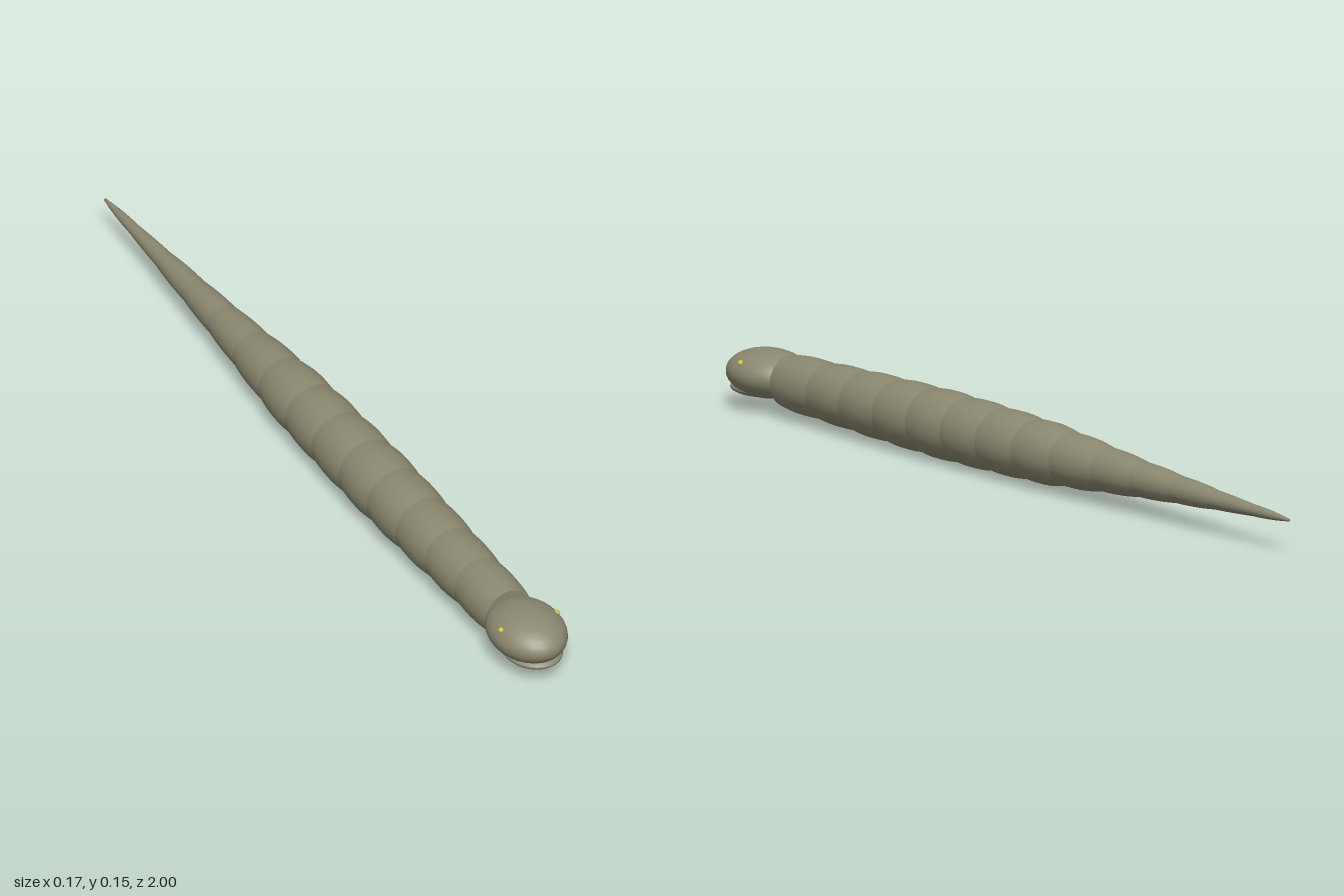
import * as THREE from 'three';

export function createModel() {
  const model = new THREE.Group();
  const skin = new THREE.MeshStandardMaterial({ color: 0x8b8870 });
  skin.name = 'olive skin';
  const yellow = new THREE.MeshStandardMaterial({ color: 0xc8bc22 });
  yellow.name = 'eye yellow';
  const bodyY = 0.077;

  // Ends of the body segments along z, and the bulge radius at each segment's middle
  const ends = [0.81, 0.675, 0.55, 0.425, 0.3, 0.175, 0.05, -0.075, -0.205, -0.34, -0.47, -0.6, -0.735, -0.87, -1];
  const radii = [0.0645, 0.068, 0.072, 0.075, 0.077, 0.0755, 0.073, 0.069, 0.0585, 0.047, 0.037, 0.028, 0.018, 0.010];
  const joint = (i) => {
    if (i === 0) return 0.058;
    if (i === radii.length) return 0.003;
    return (radii[i - 1] + radii[i]) / 2 * 0.94;
  };

  // Barrel-shaped segments, from neck to tail tip
  radii.forEach((radius, i) => {
    const front = ends[i], back = ends[i + 1];
    const a = joint(i + 1), b = joint(i);
    const points = [];
    if (i === radii.length - 1) points.push(new THREE.Vector2(0, back));
    for (let k = 0; k <= 8; k++) {
      const t = k / 8;
      const bulge = (radius - (a + b) / 2) * 4 * t * (1 - t);
      points.push(new THREE.Vector2(a + (b - a) * t + bulge, back + (front - back) * t));
    }
    const geometry = new THREE.LatheGeometry(points, 28);
    geometry.rotateX(Math.PI / 2);
    const segment = new THREE.Mesh(geometry, skin);
    segment.name = i < 9 ? 'bodySegment' : 'tailSegment';
    segment.position.y = bodyY;
    model.add(segment);
  });

  // Flat front end of the neck
  const neck = new THREE.Mesh(new THREE.CircleGeometry(joint(0), 28), skin);
  neck.name = 'neckEnd';
  neck.position.set(0, bodyY, ends[0]);
  model.add(neck);

  const ellipsoid = (name, material, size, position) => {
    const geometry = new THREE.SphereGeometry(1, 28, 18);
    geometry.scale(...size);
    const mesh = new THREE.Mesh(geometry, material);
    mesh.name = name;
    mesh.position.set(...position);
    model.add(mesh);
  };

  // Head with a lower jaw and two small eyes
  ellipsoid('head', skin, [0.084, 0.054, 0.11], [0, 0.082, 0.89]);
  ellipsoid('lowerJaw', skin, [0.064, 0.018, 0.078], [0, 0.046, 0.915]);
  for (const side of [-1, 1]) {
    ellipsoid('eye', yellow, [0.007, 0.007, 0.007], [side * 0.069, 0.11, 0.9]);
  }
  return model;
}
